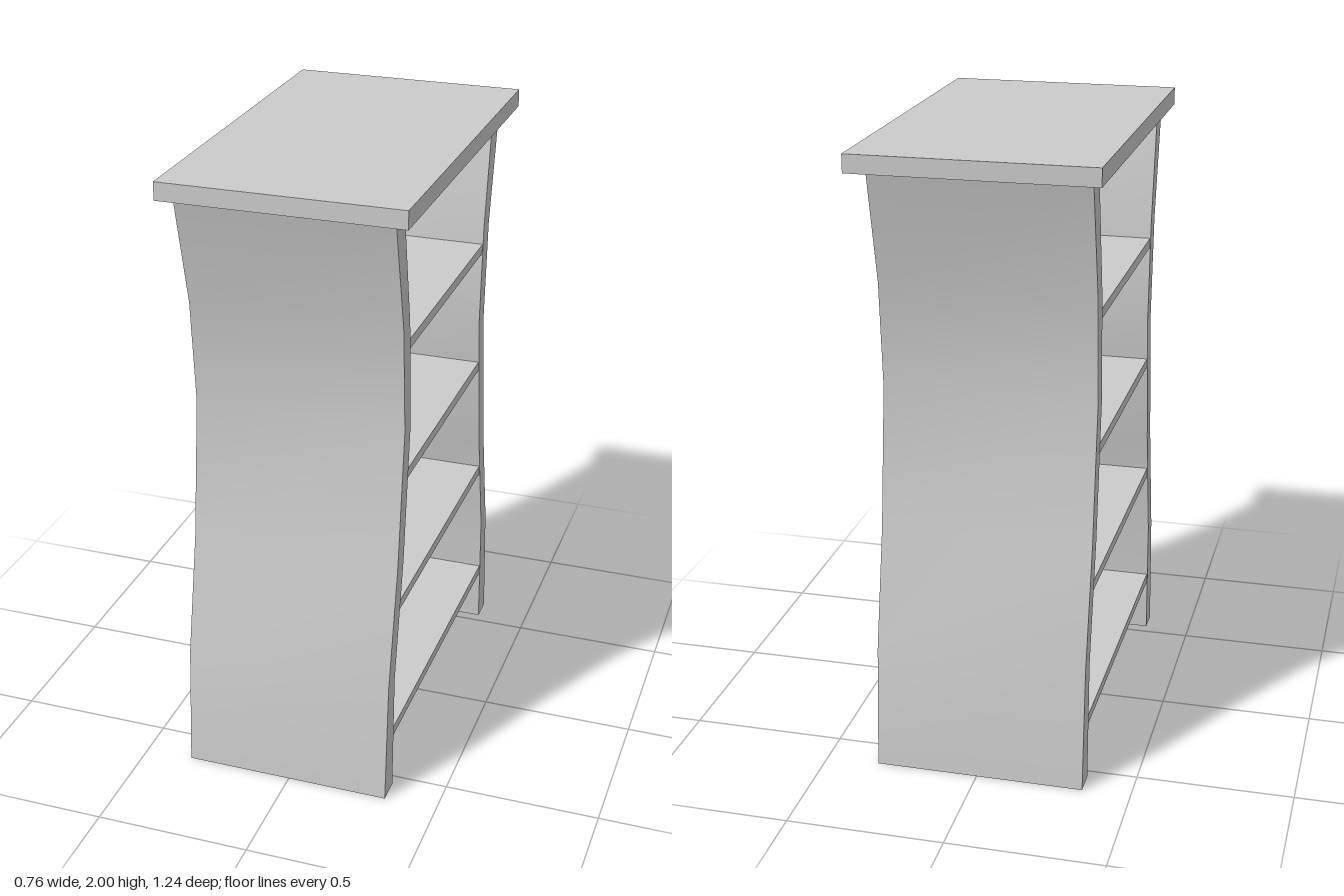
import * as THREE from 'three';
import { toCreasedNormals } from 'three/addons/utils/BufferGeometryUtils.js';

const WIDTH = 0.674;

// Waisted side panel profile: height, outer and inner distance from the middle
const PROFILE = [
  [0, 0.619, 0.538],
  [0.4, 0.59, 0.527],
  [0.79, 0.51, 0.45],
  [1.24, 0.455, 0.396],
  [1.58, 0.481, 0.418],
  [1.935, 0.566, 0.485],
];

function panelGeometry() {
  const outer = PROFILE.map(([y, o]) => new THREE.Vector2(o, y));
  const inner = PROFILE.map(([y, , i]) => new THREE.Vector2(i, y)).reverse();
  const shape = new THREE.Shape([...outer, ...inner]);
  const geo = new THREE.ExtrudeGeometry(shape, { depth: WIDTH, bevelEnabled: false });
  geo.translate(0, 0, -WIDTH / 2).rotateY(-Math.PI / 2);
  return toCreasedNormals(geo, 0.6); // smooth along the curve, sharp at the edges
}

// Half length of a shelf, reaching just inside the panels at height y
function innerReach(y) {
  const k = PROFILE.findIndex((p) => p[0] > y);
  const [a, b] = [PROFILE[k - 1], PROFILE[k]];
  return THREE.MathUtils.mapLinear(y, a[0], b[0], a[2], b[2]) + 0.012;
}

export function createModel() {
  const model = new THREE.Group();
  model.name = 'shelfStand';
  const material = new THREE.MeshStandardMaterial({ color: 0xcccccc });

  const add = (parent, name, geometry) => {
    const mesh = new THREE.Mesh(geometry, material);
    mesh.name = name;
    parent.add(mesh);
    return mesh;
  };

  // Top board, overhanging on the open sides
  add(model, 'topBoard', new THREE.BoxGeometry(0.76, 0.057, 1.244)).position.y = 1.9715;

  // Body sits slightly off the middle of the board
  const body = new THREE.Group();
  body.name = 'body';
  body.position.set(-0.008, 0, 0.003);
  model.add(body);

  // Two mirrored curved panels
  const panel = panelGeometry();
  add(body, 'frontPanel', panel);
  add(body, 'backPanel', panel).rotation.y = Math.PI;

  // Shelves between the panels
  [0.201, 0.645, 1.079, 1.509].forEach((y, i) => {
    const geo = new THREE.BoxGeometry(WIDTH - 0.004, 0.032, 2 * innerReach(y));
    add(body, `shelf${i + 1}`, geo).position.y = y;
  });

  return model;
}
